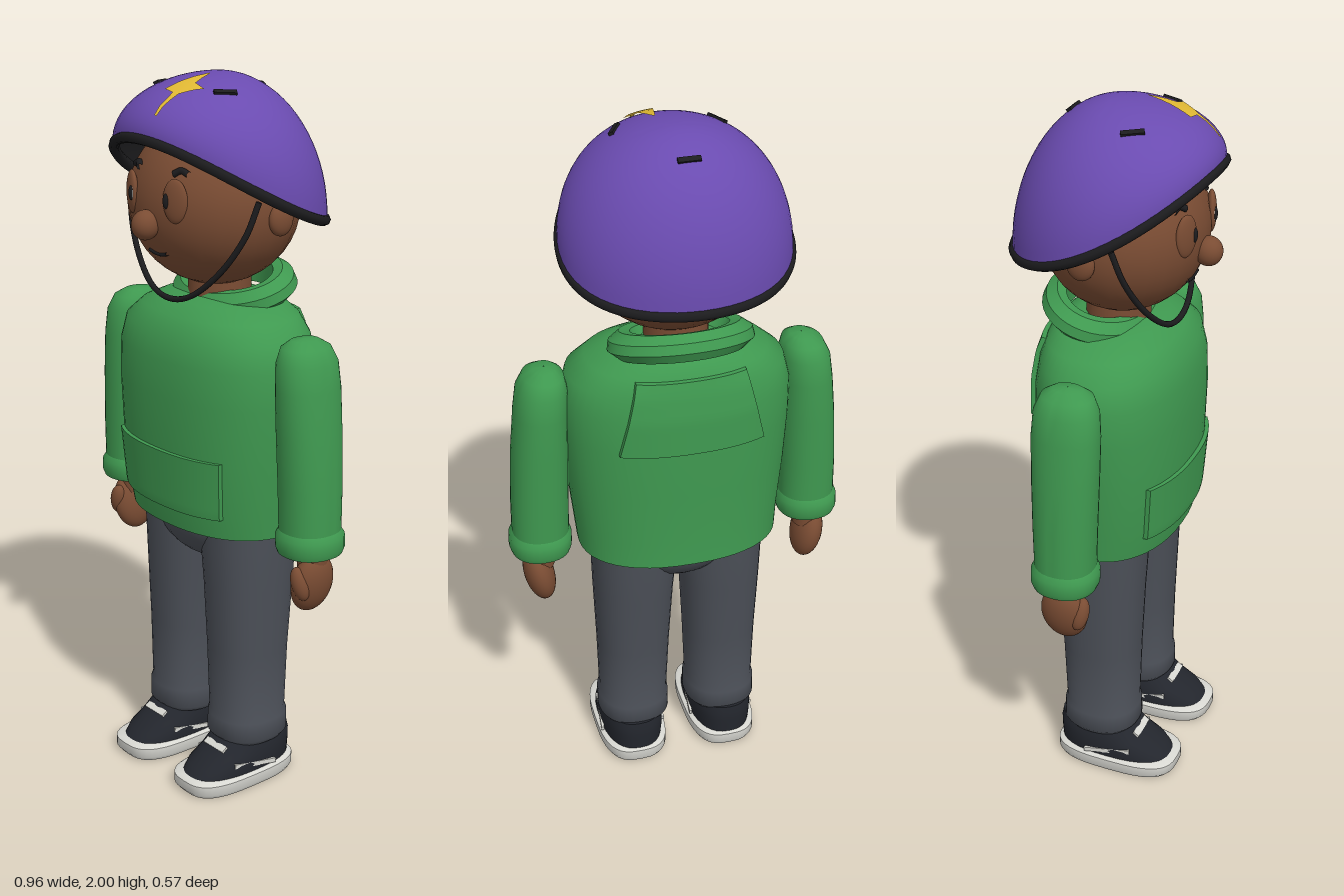
import * as THREE from 'three';
import { toCreasedNormals } from 'three/addons/utils/BufferGeometryUtils.js';

const mat = (color, side = THREE.FrontSide) => new THREE.MeshStandardMaterial({ color, side });
const MAT = {
  skin: mat(0x7a4c33), green: mat(0x3f9950, THREE.DoubleSide), trousers: mat(0x4b4f57),
  shoe: mat(0x23262d), white: mat(0xd8d8d2), purple: mat(0x6a4bb0),
  black: mat(0x1c1c1e, THREE.DoubleSide), yellow: mat(0xe0b833, THREE.DoubleSide),
};

function add(parent, name, geometry, material, pos = [0, 0, 0]) {
  const m = new THREE.Mesh(geometry, material);
  m.name = name;
  m.position.set(...pos);
  parent.add(m);
  return m;
}

// Surface from fn(u, v) -> [x, y, z], facing du x dv
function grid(nu, nv, fn, crease = 0.8) {
  const pos = [], idx = [], w = nu + 1;
  for (let j = 0; j <= nv; j++) for (let i = 0; i <= nu; i++) pos.push(...fn(i / nu, j / nv));
  for (let j = 0; j < nv; j++) for (let i = 0; i < nu; i++) {
    const a = j * w + i;
    idx.push(a, a + 1, a + w + 1, a, a + w + 1, a + w);
  }
  const g = new THREE.BufferGeometry();
  g.setAttribute('position', new THREE.Float32BufferAttribute(pos, 3));
  g.setIndex(idx);
  return toCreasedNormals(g, crease);
}

// Superellipse rings [y, centreX, centreZ, radiusX, radiusZ]
function loft(rings, n = 2, seg = 32, crease = 0.8) {
  const p = v => Math.sign(v) * Math.abs(v) ** (2 / n);
  return grid(seg, rings.length - 1, (u, v) => {
    const [y, cx, cz, rx, rz] = rings[Math.round(v * (rings.length - 1))];
    const a = u * Math.PI * 2;
    return [cx + rx * p(Math.sin(a)), y, cz + rz * p(Math.cos(a))];
  }, crease);
}

function ball(parent, name, material, pos, scale, rot = [0, 0, 0]) {
  const m = add(parent, name, new THREE.SphereGeometry(1, 28, 20), material, pos);
  m.scale.set(...scale);
  m.rotation.set(...rot);
  return m;
}

const tube = (pts, r, closed = false, n = 48) => new THREE.TubeGeometry(
  new THREE.CatmullRomCurve3(pts.map(p => new THREE.Vector3(...p)), closed), n, r, 8, closed);

// Jumper body rings
const TORSO = [
  [0.79, 0, 0, 0.25, 0.16], [0.775, 0, 0, 0.285, 0.195], [0.85, 0, 0.008, 0.292, 0.2],
  [1.0, 0, 0.012, 0.308, 0.206], [1.15, 0, 0.013, 0.318, 0.208], [1.25, 0, 0.012, 0.318, 0.205],
  [1.32, 0, 0.01, 0.3, 0.192], [1.365, 0, 0, 0.25, 0.17], [1.395, 0, -0.01, 0.185, 0.135],
  [1.41, 0, -0.015, 0.1, 0.09], [1.41, 0, -0.015, 0.001, 0.001],
];
const TORSO_N = 2.3;
function torsoZ(x, y, side) {
  let i = 1;
  while (i < TORSO.length - 3 && TORSO[i + 1][0] < y) i++;
  const a = TORSO[i], b = TORSO[i + 1], t = (y - a[0]) / (b[0] - a[0]);
  const [, , cz, rx, rz] = a.map((v, k) => v + (b[k] - v) * t);
  return cz + side * rz * Math.max(0, 1 - Math.abs(x / rx) ** TORSO_N) ** (1 / TORSO_N);
}
// Raised cloth panel following the jumper
const panel = (side, y0, y1, w0, w1, lift) => grid(22, 14, (u, v) => {
  const edge = u === 0 || u === 1 || v === 0 || v === 1;
  const s = THREE.MathUtils.clamp((u * 22 - 1) / 20, 0, 1), t = THREE.MathUtils.clamp((v * 14 - 1) / 12, 0, 1);
  const y = y0 + (y1 - y0) * t, x = side * (s * 2 - 1) * (w0 + (w1 - w0) * t);
  return [x, y, torsoZ(x, y, side) + side * (edge ? -0.01 : lift)];
}, 0.6);

// Helmet shell: rim curve plus dome height
const HX = 0.308, HZ = 0.272, TOP = 1.998;
const rimY = z => 1.68 + 0.45 * z + 0.7 * z * z;
function helmetY(x, z) {
  const r = Math.max(1e-4, Math.hypot(x / HX, z / HZ));
  const base = rimY(z / r);
  return base + (TOP - base) * Math.sqrt(Math.max(0, 1 - r * r));
}
const dome = k => grid(56, 20, (u, v) => {
  const a = u * Math.PI * 2, r = Math.cos(v * 1.5705);
  const x = HX * r * Math.sin(a), z = HZ * r * Math.cos(a);
  return [x * k, helmetY(x, z) - (1 - k) * 0.5 * v, z * k];
});

function buildHelmet(root) {
  const g = new THREE.Group();
  g.name = 'helmet';
  root.add(g);
  add(g, 'helmetShell', dome(1), MAT.purple);
  add(g, 'helmetLining', dome(0.965), MAT.black);
  const ring = Array.from({ length: 32 }, (_, i) => {
    const a = i / 32 * Math.PI * 2, z = HZ * Math.cos(a);
    return [0.301 * Math.sin(a), rimY(z) - 0.008, z * 0.985];
  });
  add(g, 'helmetRim', tube(ring, 0.015, true, 96), MAT.black);
  // Air vents laid on the dome
  for (const [x, z, turn] of [[0, -0.125, 0], [0.135, 0.092, 1.05], [-0.135, 0.092, -1.05]]) {
    const e = 0.01, y = helmetY(x, z);
    const normal = new THREE.Vector3(helmetY(x - e, z) - helmetY(x + e, z), 2 * e, helmetY(x, z - e) - helmetY(x, z + e)).normalize();
    const vent = add(g, 'vent', new THREE.BoxGeometry(0.06, 0.012, 0.014), MAT.black, [x, y, z]);
    vent.quaternion.setFromUnitVectors(new THREE.Vector3(0, 1, 0), normal);
    vent.rotateY(turn);
  }
  // Lightning bolt: rows of [z, left, right]
  const bolt = [[0.25, 0.05, 0.058], [0.23, 0.048, 0.06], [0.21, 0.05, 0.063], [0.188, 0.046, 0.066], [0.185, 0.011, 0.066],
    [0.17, 0.014, 0.076], [0.15, 0.018, 0.088], [0.13, 0.022, 0.102], [0.127, 0.023, 0.064], [0.1, 0.028, 0.055], [0.06, 0.036, 0.041]];
  add(g, 'lightningBolt', grid(4, bolt.length - 1, (u, v) => {
    const [z, l, r] = bolt[Math.round(v * (bolt.length - 1))], x = l + (r - l) * u;
    return [x, helmetY(x, z) + 0.007, z + 0.004];
  }), MAT.yellow);
  // Chin strap
  add(g, 'chinStrap', tube([[-0.268, 1.7, 0.09], [-0.245, 1.61, 0.115], [-0.175, 1.505, 0.145], [-0.08, 1.43, 0.168], [0, 1.412, 0.173],
    [0.08, 1.43, 0.168], [0.175, 1.505, 0.145], [0.245, 1.61, 0.115], [0.268, 1.7, 0.09]], 0.008), MAT.black);
}

function buildHead(root) {
  const g = new THREE.Group();
  g.name = 'head';
  root.add(g);
  const C = [0, 1.66, 0.02], R = [0.248, 0.225, 0.222];
  const faceZ = (x, y) => C[2] + R[2] * Math.sqrt(Math.max(0, 1 - (x / R[0]) ** 2 - ((y - C[1]) / R[1]) ** 2));
  ball(g, 'skull', MAT.skin, C, R);
  add(g, 'neck', new THREE.CylinderGeometry(0.085, 0.09, 0.16, 24), MAT.skin, [0, 1.42, 0]);
  ball(g, 'nose', MAT.skin, [0, 1.62, 0.25], [0.037, 0.04, 0.038]);
  for (const s of [1, -1]) {
    ball(g, 'ear', MAT.skin, [s * 0.25, 1.642, 0], [0.022, 0.044, 0.038]);
    ball(g, 'eyelid', MAT.skin, [s * 0.092, 1.692, faceZ(0.092, 1.692) - 0.002], [0.036, 0.058, 0.014], [0, s * 0.4, 0]);
    ball(g, 'eyeWhite', MAT.white, [s * 0.077, 1.692, faceZ(0.077, 1.692) + 0.005], [0.014, 0.026, 0.008], [0, s * 0.35, 0]);
    ball(g, 'pupil', MAT.black, [s * 0.075, 1.692, faceZ(0.075, 1.692) + 0.009], [0.01, 0.02, 0.007], [0, s * 0.35, 0]);
    const brow = [[0.072, 1.758], [0.09, 1.768], [0.112, 1.76]].map(([x, y]) => [s * x, y, faceZ(x, y) + 0.002]);
    add(g, 'eyebrow', tube(brow, 0.009, false, 12), MAT.black);
  }
  const mouth = [-0.038, -0.02, 0, 0.02, 0.038].map(x => {
    const y = 1.536 + x * x * 5;
    return [x, y, faceZ(x, y)];
  });
  add(g, 'mouth', tube(mouth, 0.005, false, 16), MAT.black);
}

function buildJumper(root) {
  add(root, 'jumperBody', loft(TORSO, TORSO_N, 48), MAT.green);
  add(root, 'frontPocket', panel(1, 0.835, 1.0, 0.208, 0.218, 0.012), MAT.green);
  add(root, 'backPanel', panel(-1, 1.15, 1.36, 0.2, 0.15, 0.014), MAT.green);
  // Tilted hood roll around the neck
  const hood = loft([[-0.04, 0, 0, 0.1, 0.08], [-0.04, 0, 0, 0.17, 0.13], [-0.015, 0, 0, 0.2, 0.152], [0.012, 0, 0, 0.195, 0.148],
    [0.034, 0, 0, 0.165, 0.125], [0.03, 0, 0, 0.135, 0.1], [-0.04, 0, 0, 0.1, 0.08]], 2, 40, 0.5);
  add(root, 'hood', hood, MAT.green, [0, 1.422, -0.05]).rotation.x = 0.3;
}

// One side's arm, leg and shoe; s = 1 for the left
function buildLimbs(root, s) {
  const X = r => r.map(([y, cx, ...rest]) => [y, s * cx, ...rest]);
  add(root, 'sleeve', loft(X([[0.835, 0.392, 0.01, 0.08, 0.083], [0.95, 0.39, 0.01, 0.08, 0.086], [1.1, 0.383, 0.01, 0.078, 0.09],
    [1.22, 0.376, 0.01, 0.073, 0.092], [1.29, 0.37, 0.01, 0.069, 0.087], [1.33, 0.364, 0.01, 0.055, 0.07],
    [1.348, 0.36, 0.01, 0.03, 0.04], [1.352, 0.36, 0.01, 0.001, 0.001]]), 2.2), MAT.green);
  add(root, 'cuff', loft(X([[0.79, 0.393, 0.01, 0.001, 0.001], [0.79, 0.393, 0.01, 0.07, 0.075], [0.77, 0.394, 0.01, 0.083, 0.086],
    [0.785, 0.394, 0.01, 0.088, 0.092], [0.82, 0.393, 0.01, 0.088, 0.092], [0.836, 0.392, 0.01, 0.078, 0.082]]), 2.2), MAT.green);
  add(root, 'wrist', new THREE.CylinderGeometry(0.042, 0.042, 0.09, 20), MAT.skin, [s * 0.4, 0.76, 0.005]);
  ball(root, 'hand', MAT.skin, [s * 0.402, 0.68, 0.008], [0.043, 0.086, 0.066], [0, 0, -s * 0.2]);
  ball(root, 'thumb', MAT.skin, [s * 0.41, 0.69, 0.058], [0.025, 0.048, 0.024], [0.15, 0, s * 0.25]);

  add(root, 'trouserLeg', loft(X([[0.125, 0.135, 0.008, 0.001, 0.001], [0.125, 0.135, 0.008, 0.095, 0.1], [0.14, 0.135, 0.008, 0.106, 0.112],
    [0.195, 0.135, 0.008, 0.105, 0.111], [0.21, 0.134, 0.008, 0.1, 0.106], [0.4, 0.132, 0.006, 0.106, 0.112],
    [0.6, 0.13, 0.002, 0.115, 0.124], [0.72, 0.126, 0, 0.122, 0.132], [0.82, 0.124, 0, 0.124, 0.134]]), 2.3), MAT.trousers);

  const shoe = new THREE.Group();
  shoe.name = 'shoe';
  shoe.position.x = s * 0.14;
  root.add(shoe);
  add(shoe, 'sole', loft([[0.002, 0, 0.06, 0.001, 0.001], [0.002, 0, 0.06, 0.094, 0.175], [0.015, 0, 0.062, 0.102, 0.184],
    [0.042, 0, 0.062, 0.102, 0.184], [0.048, 0, 0.062, 0.094, 0.176], [0.048, 0, 0.06, 0.001, 0.001]], 3, 40), MAT.white);
  add(shoe, 'shoeUpper', loft([[0.045, 0, 0.056, 0.09, 0.17], [0.07, 0, 0.045, 0.092, 0.16], [0.095, 0, 0.022, 0.089, 0.138],
    [0.12, 0, 0.006, 0.086, 0.122], [0.142, 0, -0.002, 0.078, 0.11], [0.15, 0, -0.002, 0.001, 0.001]], 2.5, 36), MAT.shoe);
  add(shoe, 'lace', new THREE.BoxGeometry(0.085, 0.014, 0.02), MAT.white, [0, 0.113, 0.127]).rotation.x = 0.6;
  for (const k of [1, -1])
    add(shoe, 'sideStripe', new THREE.BoxGeometry(0.008, 0.013, 0.14), MAT.white, [k * 0.088, 0.069, 0.055]).rotation.set(-0.14, k * -0.1, 0);
}

export function createModel() {
  const root = new THREE.Group();
  root.name = 'helmetedFigure';
  buildHelmet(root);
  buildHead(root);
  buildJumper(root);
  ball(root, 'hips', MAT.trousers, [0, 0.8, 0.004], [0.205, 0.162, 0.164]);
  for (const s of [1, -1]) buildLimbs(root, s);
  return root;
}
